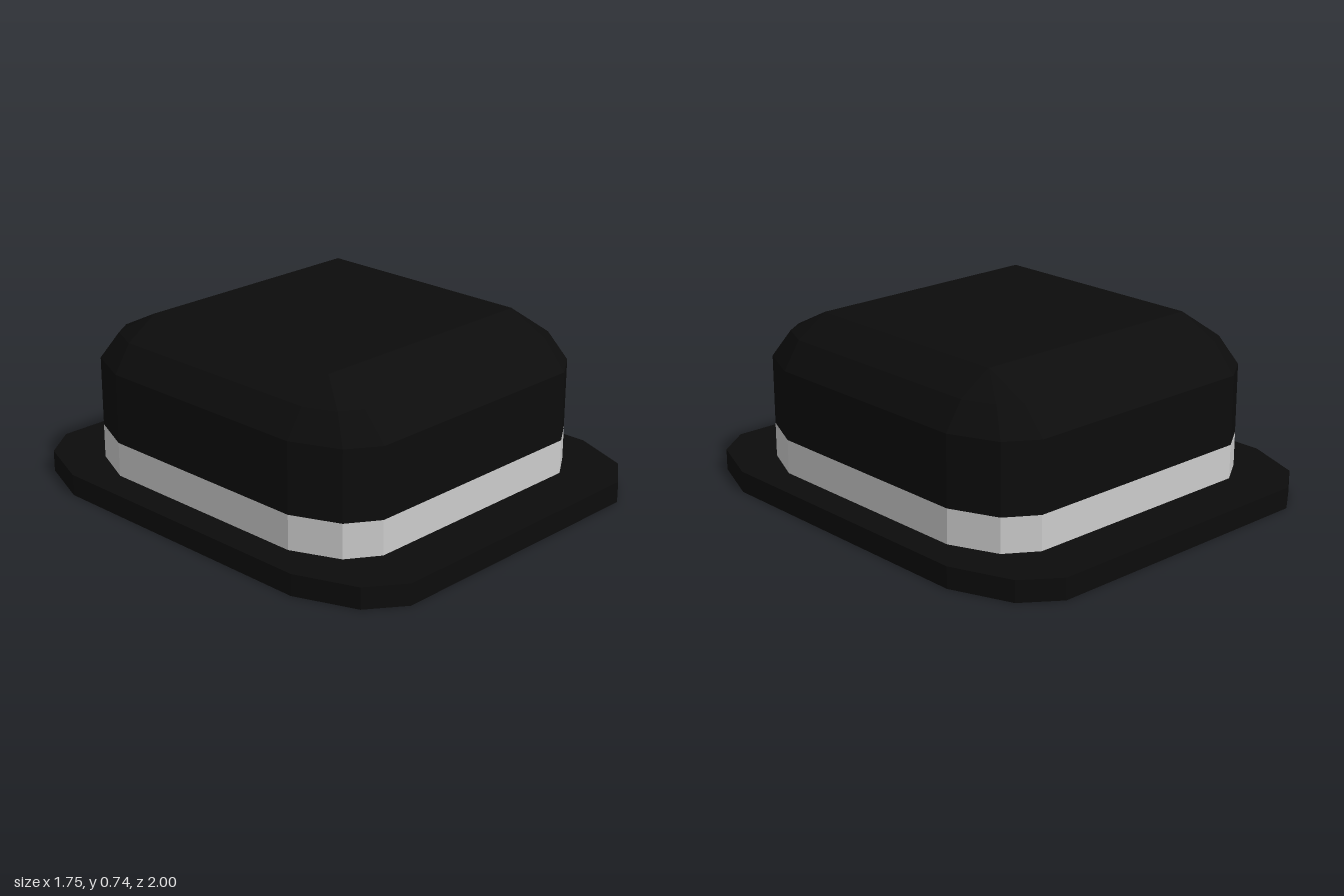
import * as THREE from 'three';

const BLACK = 0x0c0c0c, GREY = 0xcccccc, GREEN = 0x8fe0a5;

function material(color, side = THREE.FrontSide) {
  return new THREE.MeshStandardMaterial({ color, flatShading: true, side });
}

// Rectangle outline with two-facet corners: core half-size (cx, cz) plus corner radii (rx, rz)
function outline(cx, cz, rx, rz) {
  const corner = [[1, 0], [0.6, 0.7], [0, 1]].map(([u, v]) => [cx + u * rx, cz + v * rz]);
  const flipped = [...corner].reverse();
  return [
    ...corner,
    ...flipped.map(([x, z]) => [-x, z]),
    ...corner.map(([x, z]) => [-x, -z]),
    ...flipped.map(([x, z]) => [x, -z]),
  ];
}

// Skin a stack of equal-length outlines, optionally closing the top
function loft(rings, closeTop) {
  const positions = [], index = [], n = rings[0].points.length;
  for (const { y, points } of rings) for (const [x, z] of points) positions.push(x, y, z);
  for (let r = 0; r < rings.length - 1; r++) {
    for (let i = 0; i < n; i++) {
      const a = r * n + i, b = r * n + (i + 1) % n;
      index.push(a, a + n, b, b, a + n, b + n);
    }
  }
  if (closeTop) {
    const last = (rings.length - 1) * n, centre = positions.length / 3;
    positions.push(0, rings[rings.length - 1].y, 0);
    for (let i = 0; i < n; i++) index.push(last + i, centre, last + (i + 1) % n);
  }
  const geometry = new THREE.BufferGeometry();
  geometry.setAttribute('position', new THREE.Float32BufferAttribute(positions, 3));
  geometry.setIndex(index);
  geometry.computeVertexNormals();
  return geometry;
}

const toVectors = (points) => points.map(([x, z]) => new THREE.Vector2(x, z));

// Upright prism from an outline, with an optional hole
function slab(points, hole, options) {
  const shape = new THREE.Shape(toVectors(points));
  if (hole) shape.holes.push(new THREE.Path(toVectors(hole)));
  return new THREE.ExtrudeGeometry(shape, options).rotateX(-Math.PI / 2);
}

export function createModel() {
  const model = new THREE.Group();
  model.name = 'hat';
  const add = (name, geometry, mat, parent = model) => {
    const mesh = new THREE.Mesh(geometry, mat);
    mesh.name = name;
    parent.add(mesh);
    return mesh;
  };

  const crownOutline = (k) => outline(0.53, 0.49, 0.215 * k, 0.285 * k);

  // Flat brim, open in the middle
  add('brim', slab(outline(0.625, 0.635, 0.25, 0.365), crownOutline(1),
    { depth: 0.09, bevelEnabled: false }), material(BLACK));

  // Pale band round the foot of the crown
  add('band', loft([0.09, 0.235].map((y) => ({ y, points: crownOutline(1) })), false),
    material(GREY, THREE.DoubleSide));

  // Hollow crown: straight wall, two bevels and a flat top
  const crown = [
    { y: 0.235, points: crownOutline(1) },
    { y: 0.53, points: crownOutline(1) },
    { y: 0.645, points: crownOutline(0.65) },
    { y: 0.735, points: crownOutline(0.01) },
  ];
  add('crown', loft(crown, true), material(BLACK, THREE.DoubleSide));

  // Pair of bevelled pads inside the crown, each with a sunken centre
  for (const side of [-1, 1]) {
    const pad = new THREE.Group();
    pad.name = side > 0 ? 'leftPad' : 'rightPad';
    pad.position.set(side * 0.38, 0.4, 0);
    const frame = slab(outline(0.17, 0.25, 0.06, 0.06), outline(0.1, 0.17, 0.04, 0.04),
      { depth: 0.1, bevelThickness: 0.03, bevelSize: 0.03, bevelSegments: 1 });
    add('padFrame', frame.translate(0, 0.03, 0), material(GREEN), pad);
    const centre = slab(outline(0.12, 0.2, 0.04, 0.04), null, { depth: 0.06, bevelEnabled: false });
    add('padCentre', centre.translate(0, 0.08, 0), material(GREEN), pad);
    model.add(pad);
  }
  return model;
}
